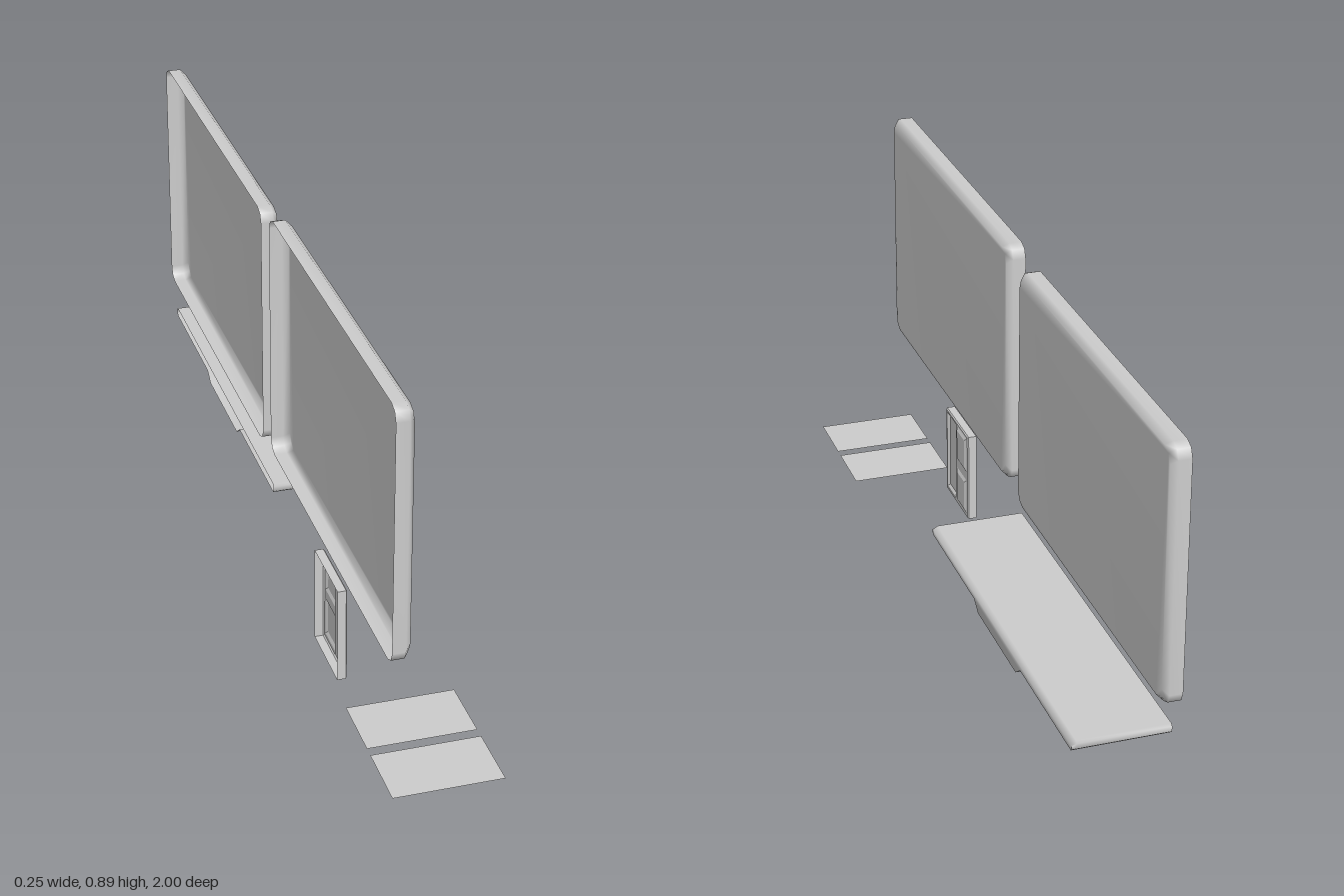
import * as THREE from 'three';

// Everything is drawn in a wall plane (u across, y up, w outward) and turned to face +x, so u = -z and w = x.
const smooth = new THREE.MeshStandardMaterial({ color: 0xcccccc, side: THREE.DoubleSide });
const flat = new THREE.MeshStandardMaterial({ color: 0xcccccc, side: THREE.DoubleSide, flatShading: true });
const WALL = -0.113;

// Counter-clockwise rectangle with cut corners (or plain corners when cut is 0)
function rect(u0, y0, u1, y1, inset = 0, cut = 0) {
  u0 += inset; y0 += inset; u1 -= inset; y1 -= inset;
  const V = (u, y) => new THREE.Vector2(u, y);
  if (!cut) return [V(u0, y0), V(u1, y0), V(u1, y1), V(u0, y1)];
  const m = cut * 0.3; // middle point of each softened corner
  return [
    V(u0 + m, y0 + m), V(u0 + cut, y0), V(u1 - cut, y0), V(u1 - m, y0 + m),
    V(u1, y0 + cut), V(u1, y1 - cut), V(u1 - m, y1 - m), V(u1 - cut, y1),
    V(u0 + cut, y1), V(u0 + m, y1 - m), V(u0, y1 - cut), V(u0, y0 + cut),
  ];
}

// Skin joining matching loops at rising depths, open at the wall, optionally closed in front
function shell(loops, depths, cap = true) {
  const n = loops[0].length, pos = [], index = [];
  loops.forEach((loop, k) => loop.forEach(p => pos.push(p.x, p.y, depths[k])));
  for (let k = 0; k < loops.length - 1; k++) {
    for (let i = 0; i < n; i++) {
      const a = k * n + i, b = k * n + (i + 1) % n;
      index.push(a, b, b + n, a, b + n, a + n);
    }
  }
  if (cap) {
    const base = (loops.length - 1) * n;
    for (const t of THREE.ShapeUtils.triangulateShape(loops.at(-1).slice(), []))
      index.push(...t.map(i => i + base));
  }
  const g = new THREE.BufferGeometry();
  g.setAttribute('position', new THREE.Float32BufferAttribute(pos, 3));
  g.setIndex(index);
  g.computeVertexNormals();
  return g;
}

export function createModel() {
  const model = new THREE.Group();
  const wall = new THREE.Group();
  wall.name = 'wallParts';
  wall.rotation.y = Math.PI / 2;
  model.add(wall);

  function add(parent, name, geometry, material) {
    const mesh = new THREE.Mesh(geometry, material);
    mesh.name = name;
    parent.add(mesh);
    return mesh;
  }

  // Two hollow boards with softened corners and a bevelled front edge
  const boards = [['frontBoard', -0.943, 0.292], ['backBoard', 0.064, 0.272]];
  for (const [name, u, y] of boards) {
    const loop = inset => rect(u, y, u + 0.936, y + 0.6, inset, 0.03);
    add(wall, name, shell([loop(0), loop(0), loop(0.012)], [WALL, -0.083, -0.07]), smooth);
  }

  // Tray: thin shelf with a shallow trapezoid below, bevelled along its front top edge
  const tray = drop => [
    [-0.015, 0.178], [0.3, 0.178], [0.33, 0.156], [0.595, 0.156], [0.625, 0.178], [0.95, 0.178],
    [0.955, 0.183], [0.955, 0.195 - drop / 2], [0.95, 0.2 - drop],
    [-0.015, 0.2 - drop], [-0.02, 0.195 - drop / 2], [-0.02, 0.183],
  ].map(([u, y]) => new THREE.Vector2(u, y));
  add(wall, 'tray', shell([tray(0), tray(0), tray(0.01)], [-0.111, 0.1, 0.111]), smooth);

  // Switch box: open-backed frame, pierced face and three inset or raised panels
  const box = new THREE.Group();
  box.name = 'switchBox';
  wall.add(box);
  const outer = inset => rect(-0.555, 0, -0.375, 0.232, inset);
  add(box, 'switchFrame', shell([outer(0), outer(0), outer(0.003)], [WALL, -0.093, -0.09], false), flat);

  const face = new THREE.Shape(outer(0.003));
  const panels = [
    ['widePanel', [-0.547, 0.01, -0.473, 0.224], -0.096],
    ['upperRocker', [-0.461, 0.13, -0.384, 0.224], -0.086],
    ['lowerRocker', [-0.461, 0.012, -0.384, 0.106], -0.086],
  ];
  for (const [name, r, depth] of panels) {
    face.holes.push(new THREE.Path(rect(...r)));
    add(box, name, shell([rect(...r), rect(...r, 0.008)], [-0.09, depth]), flat);
  }
  add(box, 'switchFace', new THREE.ShapeGeometry(face), flat).position.z = -0.09;

  // Two flat mats on the floor
  for (const [name, z] of [['innerMat', 0.74], ['outerMat', 0.92]]) {
    const mat = add(model, name, new THREE.PlaneGeometry(0.25, 0.156), flat);
    mat.rotation.x = -Math.PI / 2;
    mat.position.set(0, 0, z);
  }
  return model;
}
